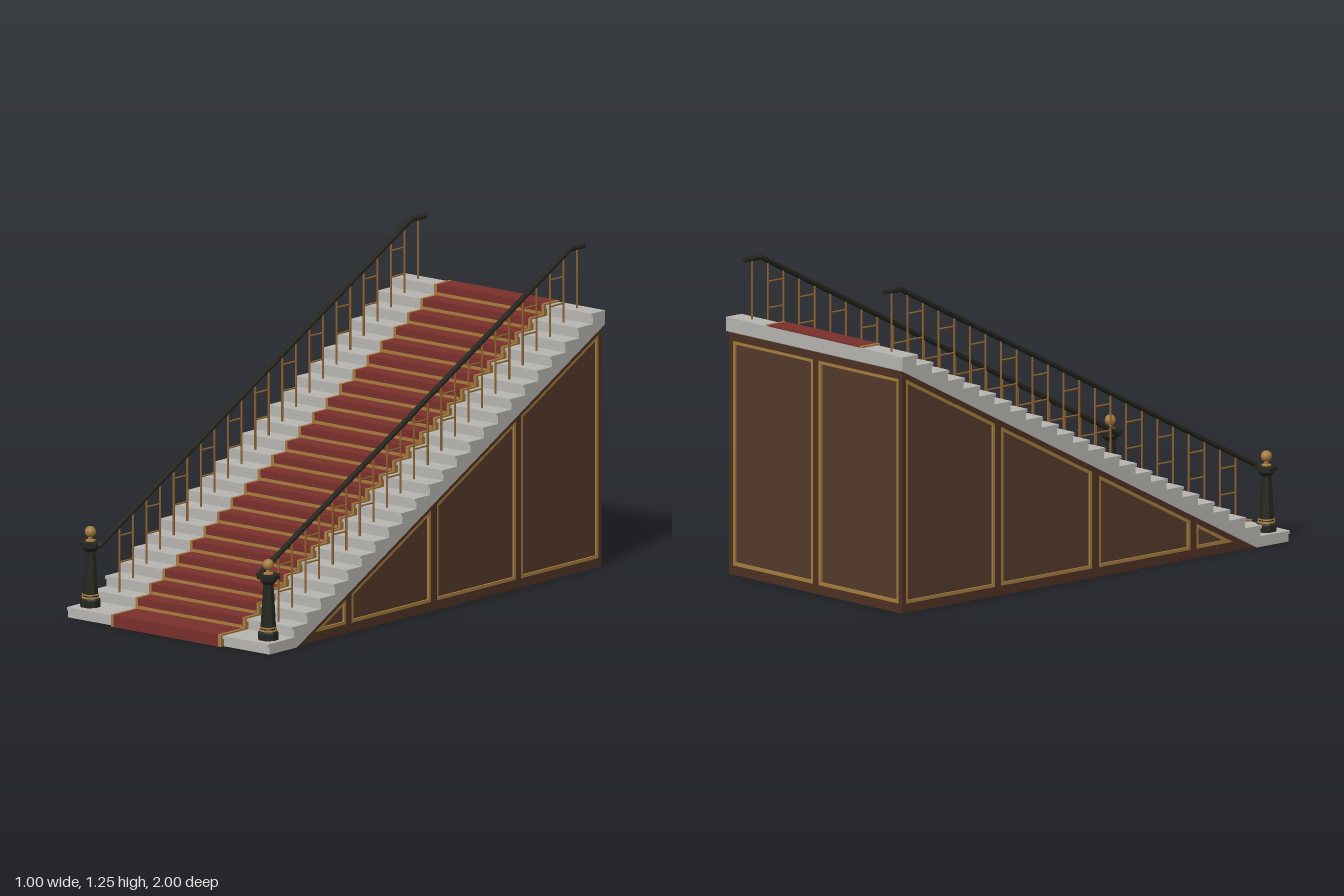
import * as THREE from 'three';

const RISE = 1 / 24, RUN = 0.0802, SLOPE = RISE / RUN;
const mat = (name, color) => Object.assign(new THREE.MeshStandardMaterial({ color }), { name });

// front edge of tread k (the lowest tread is deeper)
const edge = (k) => (k === 0 ? 0.99 : 0.845 - RUN * (k - 1));
// underside of the stone flight
const under = (z) => (0.82 - z) * SLOPE;

export function createModel() {
  const stone = mat('stone', 0xb8b6b1);
  const carpetRed = mat('carpet red', 0x7a302b);
  const brass = mat('brass', 0xa67c3e);
  const bronze = mat('bronze', 0x946530);
  const iron = mat('black iron', 0x25261f);
  const frameWood = mat('frame wood', 0x4e3123);
  const panelWood = mat('panel wood', 0x553a2b);

  const model = new THREE.Group();
  model.name = 'staircase';
  const add = (parent, name, geo, material, x = 0, y = 0, z = 0) => {
    const m = new THREE.Mesh(geo, material);
    m.name = name;
    m.position.set(x, y, z);
    parent.add(m);
    return m;
  };
  const poly = (pts) => new THREE.Shape(pts.map(([a, b]) => new THREE.Vector2(a, b)));
  const extrude = (shape, depth) =>
    new THREE.ExtrudeGeometry(shape, { depth, bevelEnabled: false }).translate(0, 0, -depth / 2);
  // outline drawn in (z, y), thickened along x
  const extrudeX = (shape, width) => extrude(shape, width).rotateY(-Math.PI / 2);

  // stepped outline with optional nosing
  const steps = (dz, dy, over, lip, back, lift) => {
    const pts = [];
    for (let k = 0; k < 24; k++) {
      const f = edge(k) + dz, y0 = k * RISE + (k ? dy : 0), y1 = (k + 1) * RISE + dy;
      pts.push([f - over, y0]);
      if (over) pts.push([f - over, y1 - lip], [f, y1 - lip]);
      pts.push([f, y1]);
    }
    pts.push([back, 1 + dy], [back, under(back) + lift], [0.82, lift]);
    return poly(pts);
  };

  // stone flight and carpet runner
  add(model, 'stoneSteps', extrudeX(steps(0, 0, 0.008, 0.012, -1, 0), 1), stone);
  add(model, 'carpet', extrudeX(steps(0.01, 0.006, 0, 0, -0.999, 0.012), 0.52), carpetRed);
  for (const s of [1, -1])
    add(model, 'carpetBorder', extrudeX(steps(0.01, 0.006, 0, 0, -0.999, 0.012), 0.013), brass, s * 0.2665);
  for (let k = 1; k < 24; k++)
    add(model, 'carpetRod', new THREE.BoxGeometry(0.52, 0.011, 0.006), brass, 0, k * RISE + 0.0115, edge(k) + 0.012);

  // wooden body below the flight
  const wedge = (back, y) => [[0.82, y], [back, under(back)], [back, y]];
  add(model, 'body', extrudeX(poly(wedge(-0.982, 0.002)), 0.964), panelWood);
  add(model, 'underside', new THREE.PlaneGeometry(0.98, 1.81).rotateX(Math.PI / 2), stone, 0, 0.0005, -0.085);

  // side panel outline between two uprights, shrunk by d
  const sidePanel = (front, back, d) => {
    const low = 0.037 + d, top = (z) => under(z) - (0.02 + d) * Math.hypot(1, SLOPE);
    const f = front - d, b = back + d;
    const tip = 0.82 - (low + (0.02 + d) * Math.hypot(1, SLOPE)) / SLOPE;
    return f > tip ? [[tip, low], [b, top(b)], [b, low]] : [[f, low], [f, top(f)], [b, top(b)], [b, low]];
  };
  const backPanel = (x0, x1, d) =>
    [[x0 + d, 0.037 + d], [x1 - d, 0.037 + d], [x1 - d, 0.91 - d], [x0 + d, 0.91 - d]];
  const withHoles = (outer, holes) => {
    const s = poly(outer);
    holes.forEach((h) => s.holes.push(poly(h)));
    return s;
  };
  const TRIM = 0.012;
  const bays = [[0.8, 0.517], [0.487, 0.017], [-0.017, -0.485], [-0.515, -0.973]];
  for (const s of [1, -1]) {
    add(model, 'sideFrame', extrudeX(withHoles(wedge(-0.99, 0.001), bays.map(([f, b]) => sidePanel(f, b, 0))), 0.012),
      frameWood, s * 0.485);
    for (const [f, b] of bays)
      add(model, 'sidePanelTrim', extrudeX(withHoles(sidePanel(f, b, 0), [sidePanel(f, b, TRIM)]), 0.01), brass, s * 0.485);
  }
  const halves = [[-0.47, -0.015], [0.015, 0.47]];
  const backOuter = [[-0.49, 0.001], [0.49, 0.001], [0.49, 0.945], [-0.49, 0.945]];
  add(model, 'backFrame', extrude(withHoles(backOuter, halves.map(([a, b]) => backPanel(a, b, 0))), 0.012),
    frameWood, 0, 0, -0.986);
  for (const [a, b] of halves)
    add(model, 'backPanelTrim', extrude(withHoles(backPanel(a, b, 0), [backPanel(a, b, TRIM)]), 0.01), brass, 0, 0, -0.986);

  // octagonal lathe with hard facets
  const turned = (pts) => {
    const g = new THREE.LatheGeometry(pts.map(([r, y]) => new THREE.Vector2(r, y)), 8, Math.PI / 8).toNonIndexed();
    g.computeVertexNormals();
    return g;
  };
  const bar = (parent, name, a, b, r, material, sides) => {
    const p = new THREE.Vector3(...a), q = new THREE.Vector3(...b), dir = q.clone().sub(p);
    const m = add(parent, name, new THREE.CylinderGeometry(r, r, dir.length(), sides), material);
    m.position.copy(p).add(q).multiplyScalar(0.5);
    m.quaternion.setFromUnitVectors(new THREE.Vector3(0, 1, 0), dir.normalize());
  };

  for (const s of [1, -1]) {
    const side = new THREE.Group();
    side.name = s > 0 ? 'leftRailing' : 'rightRailing';
    model.add(side);

    // newel post
    const nx = s * 0.442, nz = 0.92;
    add(side, 'newelPost', turned([[0, 0.041], [0.041, 0.041], [0.041, 0.068], [0.034, 0.074], [0.031, 0.09],
      [0.021, 0.25], [0.021, 0.256], [0.034, 0.272], [0.034, 0.278], [0.047, 0.28], [0.047, 0.294], [0, 0.296]]),
      iron, nx, 0, nz);
    add(side, 'newelLowerBand', turned([[0.03, 0.075], [0.036, 0.075], [0.035, 0.082], [0.03, 0.082]]), brass, nx, 0, nz);
    add(side, 'newelUpperBand', turned([[0.028, 0.087], [0.034, 0.087], [0.033, 0.092], [0.028, 0.092]]), brass, nx, 0, nz);
    add(side, 'finialStem', turned([[0.02, 0.294], [0.02, 0.3], [0.009, 0.303], [0.009, 0.316]]), brass, nx, 0, nz);
    add(side, 'finialBall', new THREE.SphereGeometry(0.022, 12, 8), brass, nx, 0.332, nz);

    // handrail
    const x = s * 0.395;
    const path = [[nx, 0.286, nz], [x, 0.286, nz], [x, 1.237, -0.915], [x, 1.237, -1]];
    for (let i = 0; i < 3; i++) {
      bar(side, 'handrail', path[i], path[i + 1], 0.0105, iron, 8);
      if (i) add(side, 'handrailJoint', new THREE.SphereGeometry(0.0105, 8, 6), iron, ...path[i]);
    }

    // one baluster per tread, paired by two rungs
    const railY = (z) => Math.min(1.237, 0.286 + (nz - z) * 0.951 / 1.835);
    for (let k = 1; k < 24; k++) {
      const z = edge(k) - RUN / 2, y = (k + 1) * RISE;
      bar(side, 'baluster', [x, y, z], [x, railY(z), z], 0.0042, bronze, 6);
      if (k % 2 && k < 23)
        for (const h of [0.2, 0.303]) {
          const ry = h + (k - 1) * RISE;
          bar(side, 'rung', [x, ry, z], [x, ry, z - RUN], 0.0035, bronze, 6);
        }
    }
  }
  return model;
}
